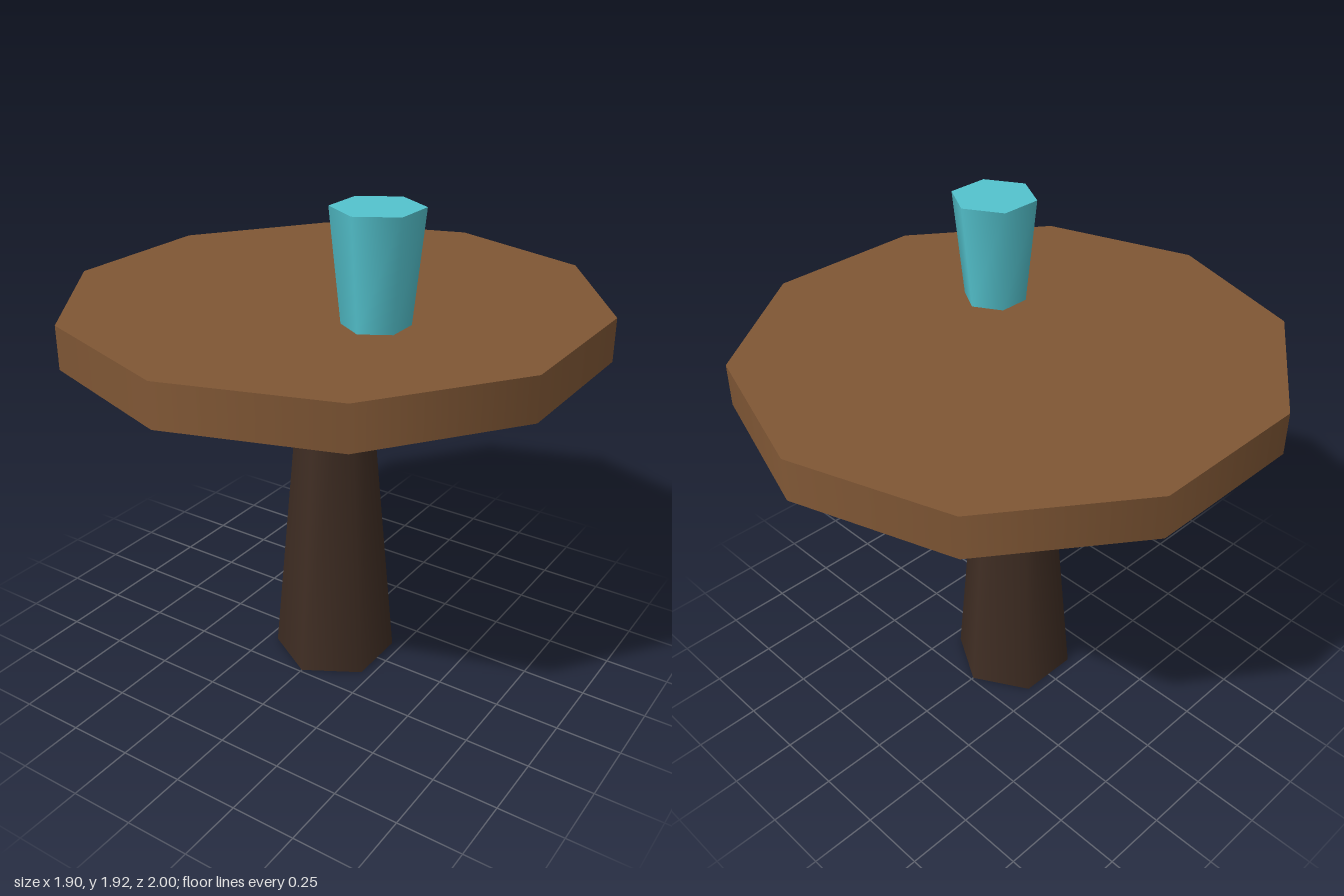
import * as THREE from 'three';

const wood = new THREE.MeshStandardMaterial({ name: 'wood', color: 0x805735 });
const darkWood = new THREE.MeshStandardMaterial({ name: 'dark wood', color: 0x3f2d23 });
const teal = new THREE.MeshStandardMaterial({ name: 'teal', color: 0x54c3ce });

// Tapered prism with smooth sides, standing between two heights
function prism(name, material, topRadius, bottomRadius, sides, y0, y1, x = 0, z = 0) {
  const geometry = new THREE.CylinderGeometry(topRadius, bottomRadius, y1 - y0, sides);
  const mesh = new THREE.Mesh(geometry, material);
  mesh.name = name;
  mesh.position.set(x, (y0 + y1) / 2, z);
  return mesh;
}

export function createModel() {
  const table = new THREE.Group();
  table.name = 'pedestalTable';
  table.add(
    prism('pedestal', darkWood, 0.12, 0.24, 6, 0, 1.36),
    prism('tableTop', wood, 1, 1, 10, 1.36, 1.52),
    prism('cup', teal, 0.16, 0.12, 6, 1.52, 1.92, 0.3, 0.2),
  );
  return table;
}
